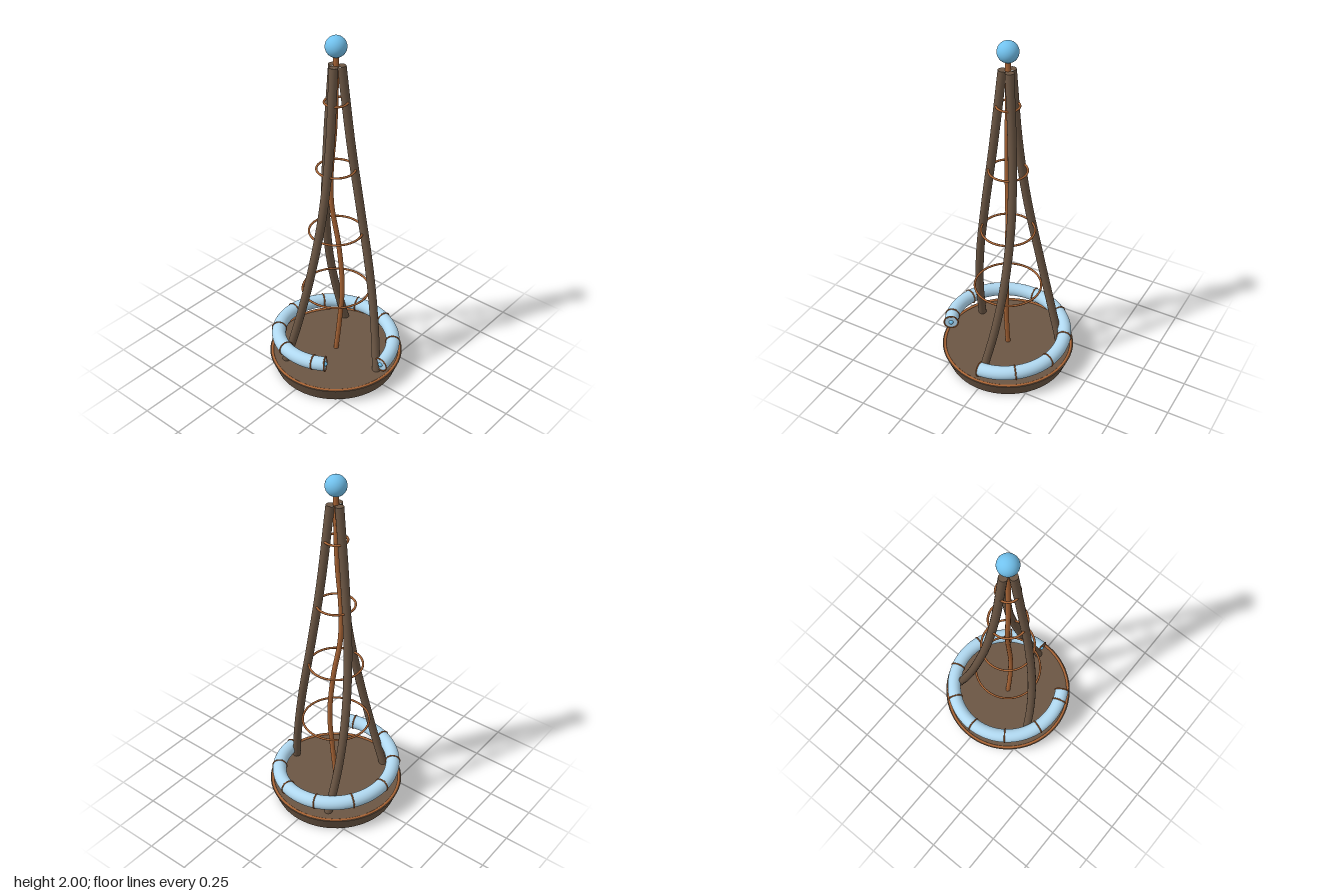
import * as THREE from 'three';

const V = (x, y, z) => new THREE.Vector3(x, y, z);
const paint = (color) => new THREE.MeshStandardMaterial({ color });

export function createModel() {
  const model = new THREE.Group();
  const wood = paint(0x6b5644), copper = paint(0xa86435);
  const paleBlue = paint(0xb0d8f0), blue = paint(0x72c2ee);

  const add = (name, geometry, material, x = 0, y = 0, z = 0) => {
    const mesh = new THREE.Mesh(geometry, material);
    mesh.name = name;
    mesh.position.set(x, y, z);
    model.add(mesh);
    return mesh;
  };
  const hoop = (name, radius, tube, y) =>
    add(name, new THREE.TorusGeometry(radius, tube, 10, 72).rotateX(Math.PI / 2), copper, 0, y, 0);

  // Round tapered base with a copper rim
  add('base', new THREE.CylinderGeometry(0.378, 0.345, 0.085, 72), wood, 0, 0.0425, 0);
  hoop('baseRim', 0.365, 0.008, 0.083);

  // Three swirling legs, each a closed tube, meeting near the top
  const legPath = new THREE.CatmullRomCurve3([
    V(0.299, 0.075, 0.002), V(0.238, 0.36, -0.047), V(0.175, 0.66, -0.075),
    V(0.104, 1.03, -0.077), V(0.055, 1.4, -0.055), V(0.02, 1.845, -0.02),
  ]);
  const legShape = new THREE.TubeGeometry(legPath, 64, 0.023, 16, false);
  const legCap = new THREE.CircleGeometry(0.023, 16).rotateX(-Math.PI / 2);
  for (let i = 0; i < 3; i++) {
    const turn = i * Math.PI * 2 / 3;
    add('leg', legShape, wood).rotation.y = turn;
    const tip = V(0.02, 1.845, -0.02).applyAxisAngle(V(0, 1, 0), turn);
    add('legTip', legCap, wood, tip.x, tip.y, tip.z);
  }

  // Wavy copper pole in the middle
  const polePath = new THREE.CatmullRomCurve3([
    V(0, 0.08, 0), V(0.022, 0.28, -0.003), V(0.036, 0.53, -0.01), V(0.014, 0.8, -0.006),
    V(-0.02, 1.05, 0.012), V(-0.02, 1.25, 0.016), V(-0.005, 1.5, 0.006), V(0, 1.75, 0), V(0, 1.9, 0),
  ]);
  add('pole', new THREE.TubeGeometry(polePath, 90, 0.014, 12, false), copper);

  // Level hoops, shrinking upwards
  [[0.185, 0.51], [0.145, 0.89], [0.102, 1.27], [0.06, 1.65]]
    .forEach(([radius, y]) => hoop('hoop', radius, 0.006, y));

  // Ball on top
  add('topBall', new THREE.SphereGeometry(0.055, 40, 28), blue, 0, 1.945, 0);

  // Spiral tube climbing around the base
  const sweep = Math.PI * 5 / 3, ringRadius = 0.325;
  const spiral = new THREE.Curve();
  spiral.getPoint = (t, target = new THREE.Vector3()) => {
    const a = t * sweep;
    return target.set(ringRadius * Math.cos(a), 0.135 + 0.098 * t, -ringRadius * Math.sin(a));
  };
  add('spiralTube', new THREE.TubeGeometry(spiral, 120, 0.039, 24, false), paleBlue);

  // Places a shape on the spiral, its local z along the tube
  const onSpiral = (name, geometry, material, t, direction = 1) => {
    const p = spiral.getPoint(t);
    const mesh = add(name, geometry, material, p.x, p.y, p.z);
    const tangent = spiral.getTangent(t).multiplyScalar(direction);
    mesh.quaternion.setFromUnitVectors(V(0, 0, 1), tangent);
  };

  // Copper bands every 36 degrees and at the upper end
  const band = new THREE.TorusGeometry(0.04, 0.004, 8, 32);
  for (let deg = 0; deg <= 288; deg += 36) onSpiral('tubeBand', band, copper, deg / 300);
  onSpiral('tubeBand', band, copper, 1);

  // Closed tube ends with a small ball in each
  for (const [t, direction] of [[0, -1], [1, 1]]) {
    onSpiral('tubeEnd', new THREE.CircleGeometry(0.039, 24), paleBlue, t, direction);
    onSpiral('endBall', new THREE.SphereGeometry(0.013, 16, 12), blue, t, direction);
  }
  return model;
}
